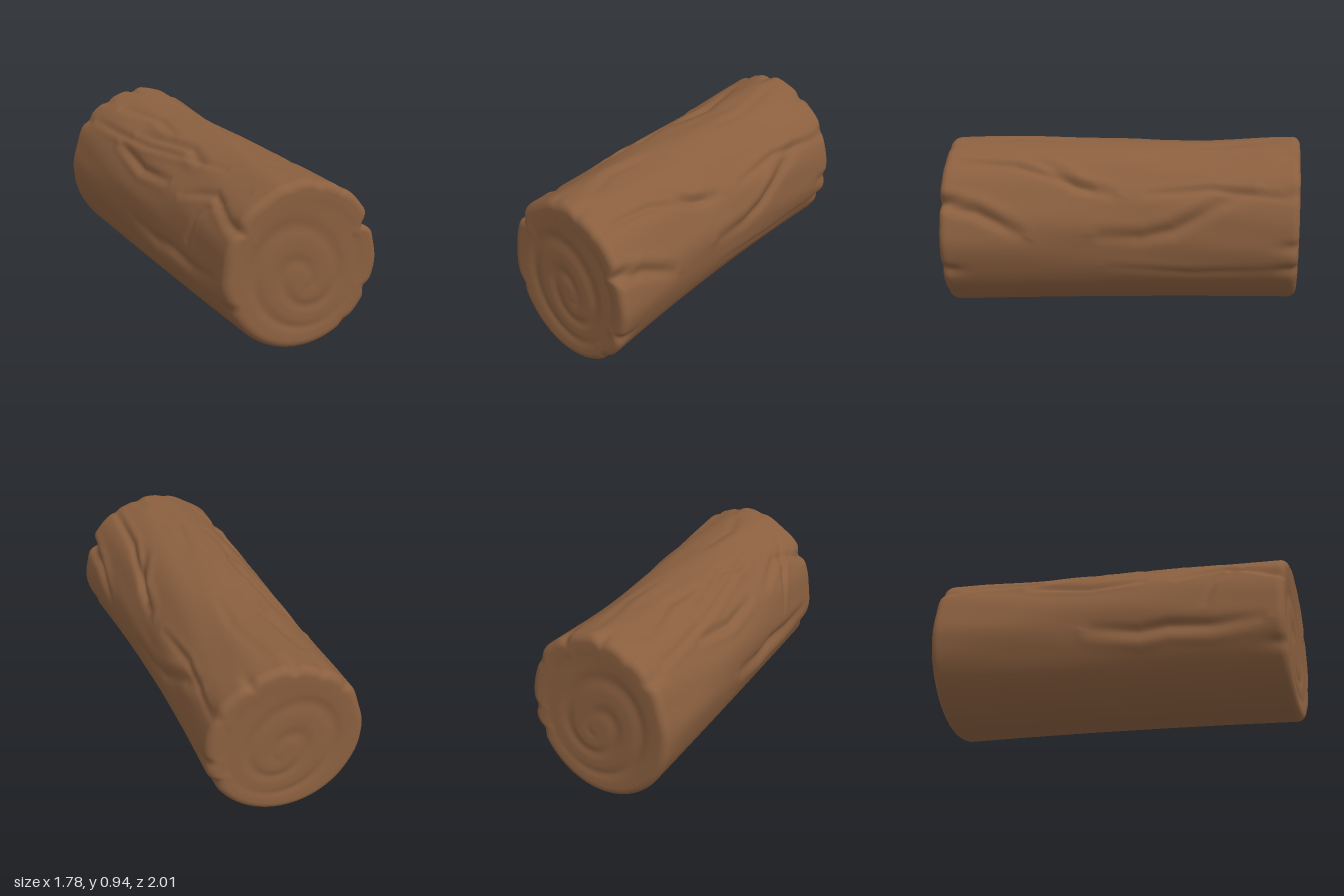
import * as THREE from 'three';

const AROUND = 220, ALONG = 170, ROUND = 8, CAP = 32;
const RIM = 0.045, HALF = 0.985;
const rad = THREE.MathUtils.degToRad;
const smooth = THREE.MathUtils.smoothstep;
const bump = (d, w) => Math.exp(-(d * d) / (w * w));

// Bark cracks: path of [position along log -1..1, angle in degrees], depth, width
const CRACKS = [
  { path: [[0.1, 0], [-0.12, -1], [-0.3, 4], [-0.42, 13], [-0.55, 23], [-0.7, 30]], depth: 0.024, width: 0.038 },
  { path: [[0.06, -24], [-0.4, -29], [-0.92, -26]], depth: 0.005, width: 0.025 },
  { path: [[1, 23], [0.8, 18], [0.57, 3]], depth: 0.028, width: 0.035 },
  { path: [[1, 58], [0.6, 52], [0.17, 33]], depth: 0.018, width: 0.022 },
  { path: [[0.06, 30], [0.25, 36], [0.45, 54]], depth: 0.022, width: 0.03 },
  { path: [[-0.95, 26], [-0.5, 34], [-0.15, 30]], depth: 0.014, width: 0.022 },
  { path: [[-0.06, 186], [0.2, 190], [0.36, 187], [0.6, 189], [0.86, 186]], depth: 0.024, width: 0.035 },
  { path: [[0.56, 172], [0.61, 154], [0.85, 122]], depth: 0.014, width: 0.022 },
  { path: [[-0.84, 136], [-0.2, 130], [0.54, 115]], depth: 0.014, width: 0.022 },
  { path: [[-0.45, 139], [-0.1, 147], [0.2, 144]], depth: 0.02, width: 0.026 },
  { path: [[-0.36, 124], [0.15, 114], [0.35, 120]], depth: 0.02, width: 0.03 },
  { path: [[-0.75, 114], [-0.4, 104], [-0.1, 110]], depth: 0.014, width: 0.03 },
  { path: [[-0.9, 84], [-0.5, 76], [-0.2, 80]], depth: 0.008, width: 0.03 },
  { path: [[0.3, 86], [0.6, 92], [0.8, 84]], depth: 0.008, width: 0.03 },
  { path: [[0.4, 146], [0.65, 134], [0.95, 148]], depth: 0.016, width: 0.025 },
];

// Notches in the rims: which end, angle in degrees, depth
const NOTCHES = [
  [1, 147, 0.03], [1, 78, 0.015], [1, 100, 0.008], [1, 26, 0.045], [1, -24, 0.025], [1, 204, 0.016],
  [1, -52, 0.012], [-1, 62, 0.025], [-1, 95, 0.025], [-1, 118, 0.016], [-1, 140, 0.018],
  [-1, -8, 0.022], [-1, -26, 0.022], [-1, 30, 0.016],
];

// Crack groove with a raised lip on one side
function crackHeight(s, a) {
  let h = 0;
  const px = s * HALF;
  for (const { path, depth, width } of CRACKS) {
    let best = 1, side = 1, along = 0;
    for (let k = 0; k < path.length - 1; k++) {
      const ax = path[k][0] * HALF, ay = rad(path[k][1]) * 0.45;
      const ux = path[k + 1][0] * HALF - ax, uy = rad(path[k + 1][1]) * 0.45 - ay;
      const qx = px - ax, qy = a * 0.45 - ay;
      const t = THREE.MathUtils.clamp((qx * ux + qy * uy) / (ux * ux + uy * uy), 0, 1);
      const d = Math.hypot(qx - t * ux, qy - t * uy);
      if (d < best) {
        best = d;
        side = Math.sign(ux * qy - uy * qx) * Math.sign(ux);
        along = (k + t) / (path.length - 1);
      }
    }
    const fade = 0.35 + 0.65 * Math.sin(Math.PI * along);
    h -= depth * fade * bump(best, width);
    if (side > 0) h += 0.35 * depth * fade * bump(best - 2 * width, width);
  }
  return h;
}

// Radial offset of the bark at position s and angle a
function relief(s, a) {
  const rough = smooth(Math.sin(a), -0.75, 0.1);
  let h = rough * (0.004 * Math.sin(7 * a + 3 * s) + 0.002 * Math.sin(13 * a - 5 * s + 1));
  h += crackHeight(s, a);
  for (const [end, deg, depth] of NOTCHES) {
    const da = Math.atan2(Math.sin(a - rad(deg)), Math.cos(a - rad(deg)));
    h -= depth * bump(da, 0.075) * bump(s - end, 0.1);
  }
  return h;
}

// Point on the log; its sections are slightly skewed to its axis
const AXIS = new THREE.Vector3(0.513, 0, 0.838);
const WIDE = new THREE.Vector3(0.907, 0, -0.42);
const OUT = new THREE.Vector3(0.42, 0, 0.907);
function logPoint(s, a, h) {
  const waist = 1 - s * s, up = Math.sin(a);
  const sag = up > 0 ? 0.012 * waist + 0.018 * bump(s + 0.45, 0.4) : 0;
  const w = (0.434 - 0.02 * waist + h) * Math.cos(a);
  const p = AXIS.clone().multiplyScalar(s).addScaledVector(WIDE, w - 0.02 * waist);
  p.y = 0.472 + (0.467 - sag + h) * up;
  return p;
}

// Closed-loop grid surface from rows of points
function gridGeometry(rows, pointAt) {
  const pos = [], idx = [];
  for (let i = 0; i <= rows; i++) {
    for (let j = 0; j < AROUND; j++) {
      // angles run from -90 to 270 degrees so the seam lies underneath
      pos.push(...pointAt(i, -Math.PI / 2 + (j / AROUND) * Math.PI * 2).toArray());
      if (i === rows) continue;
      const a = i * AROUND + j, b = i * AROUND + (j + 1) % AROUND;
      idx.push(a, b, b + AROUND, a, b + AROUND, a + AROUND);
    }
  }
  const g = new THREE.BufferGeometry();
  g.setAttribute('position', new THREE.Float32BufferAttribute(pos, 3));
  g.setIndex(idx);
  g.computeVertexNormals();
  return g;
}

// Bark row: straight middle with quarter-round rims
function barkPoint(i, a) {
  const flat = 1 - RIM / HALF;
  const k = Math.max(ROUND - i, i - (ALONG - ROUND), 0) / ROUND * Math.PI / 2;
  const s = k === 0
    ? flat * (2 * (i - ROUND) / (ALONG - 2 * ROUND) - 1)
    : (i < ROUND ? -1 : 1) * (flat + (RIM / HALF) * Math.sin(k));
  return logPoint(s, a, relief(s, a) - RIM * (1 - Math.cos(k)));
}

// Sawn face with a soft two-turn spiral; rim notches fade out towards the middle
function capPoint(end, q, a) {
  const rim = logPoint(end, a, relief(end, a) * smooth(q, 0.72, 1) - RIM);
  const centre = AXIS.clone().multiplyScalar(end).addScaledVector(WIDE, 0.01);
  centre.y = 0.38;
  const p = centre.lerp(rim, q);
  const phase = q / 0.4 - (a + Math.PI / 2) / (2 * Math.PI) + 0.1 * Math.sin(2 * a);
  const ring = Math.pow(0.5 + 0.5 * Math.cos(phase * 2 * Math.PI), 2);
  const mask = smooth(q, 0.02, 0.25) * (1 - smooth(q, 0.72, 0.92));
  const dish = 0.006 * (1 - smooth(q, 0.7, 1));
  return p.addScaledVector(OUT, -end * (0.008 * ring * mask + dish));
}

export function createModel() {
  const group = new THREE.Group();
  group.name = 'log';
  const wood = new THREE.MeshStandardMaterial({ color: 0x8a5f3f });
  wood.name = 'brown wood';
  const add = (name, geometry) => {
    const mesh = new THREE.Mesh(geometry, wood);
    mesh.name = name;
    group.add(mesh);
  };
  add('bark', gridGeometry(ALONG, barkPoint));
  add('frontCutEnd', gridGeometry(CAP, (i, a) => capPoint(1, 1 - i / CAP, a)));
  add('backCutEnd', gridGeometry(CAP, (i, a) => capPoint(-1, i / CAP, a)));
  return group;
}
